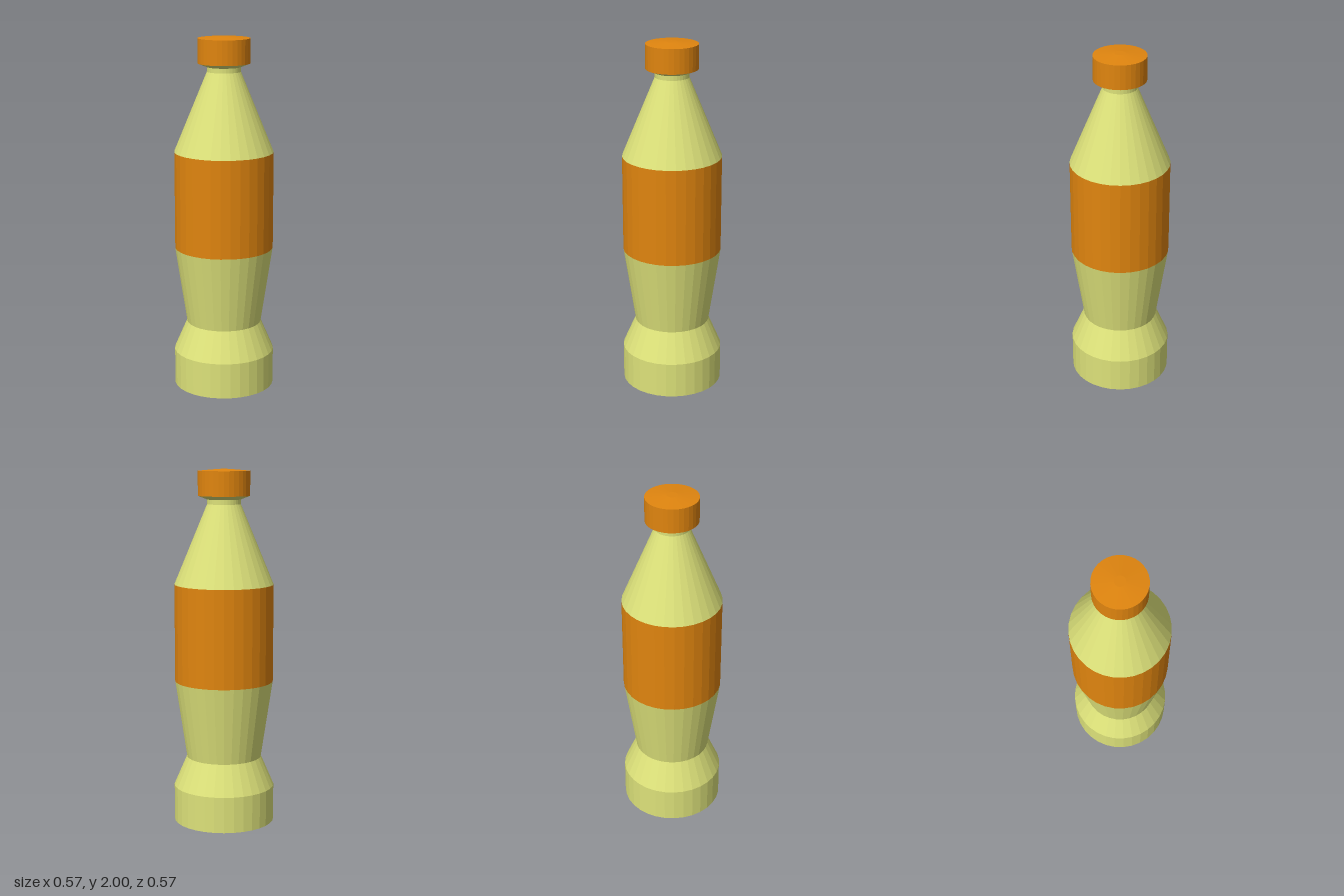
import * as THREE from 'three';

const SIDES = 32;

// Faceted surface of revolution from [radius, height] pairs, bottom to top
function turned(name, color, profile) {
  const points = profile.map(([r, y]) => new THREE.Vector2(r, y));
  const material = new THREE.MeshStandardMaterial({ color, flatShading: true, side: THREE.DoubleSide });
  const mesh = new THREE.Mesh(new THREE.LatheGeometry(points, SIDES), material);
  mesh.name = name;
  return mesh;
}

export function createModel() {
  const glass = 0xdde27a, orange = 0xe0850f;
  const bottle = new THREE.Group();
  bottle.name = 'bottle';
  bottle.add(
    // Flat bottom, straight foot, pinched waist, widening to the label
    turned('lowerBody', glass, [[0, 0], [0.285, 0], [0.285, 0.204], [0.212, 0.373], [0.278, 0.812]]),
    // Straight band round the middle
    turned('label', orange, [[0.278, 0.812], [0.278, 1.362]]),
    // Tapering shoulder, short neck and the flare under the cap
    turned('shoulderAndNeck', glass, [[0.278, 1.362], [0.094, 1.807], [0.094, 1.833], [0.145, 1.853]]),
    // Cap with a very shallow domed top
    turned('cap', orange, [[0.145, 1.853], [0.145, 1.99], [0.03, 2], [0, 2]])
  );
  return bottle;
}
